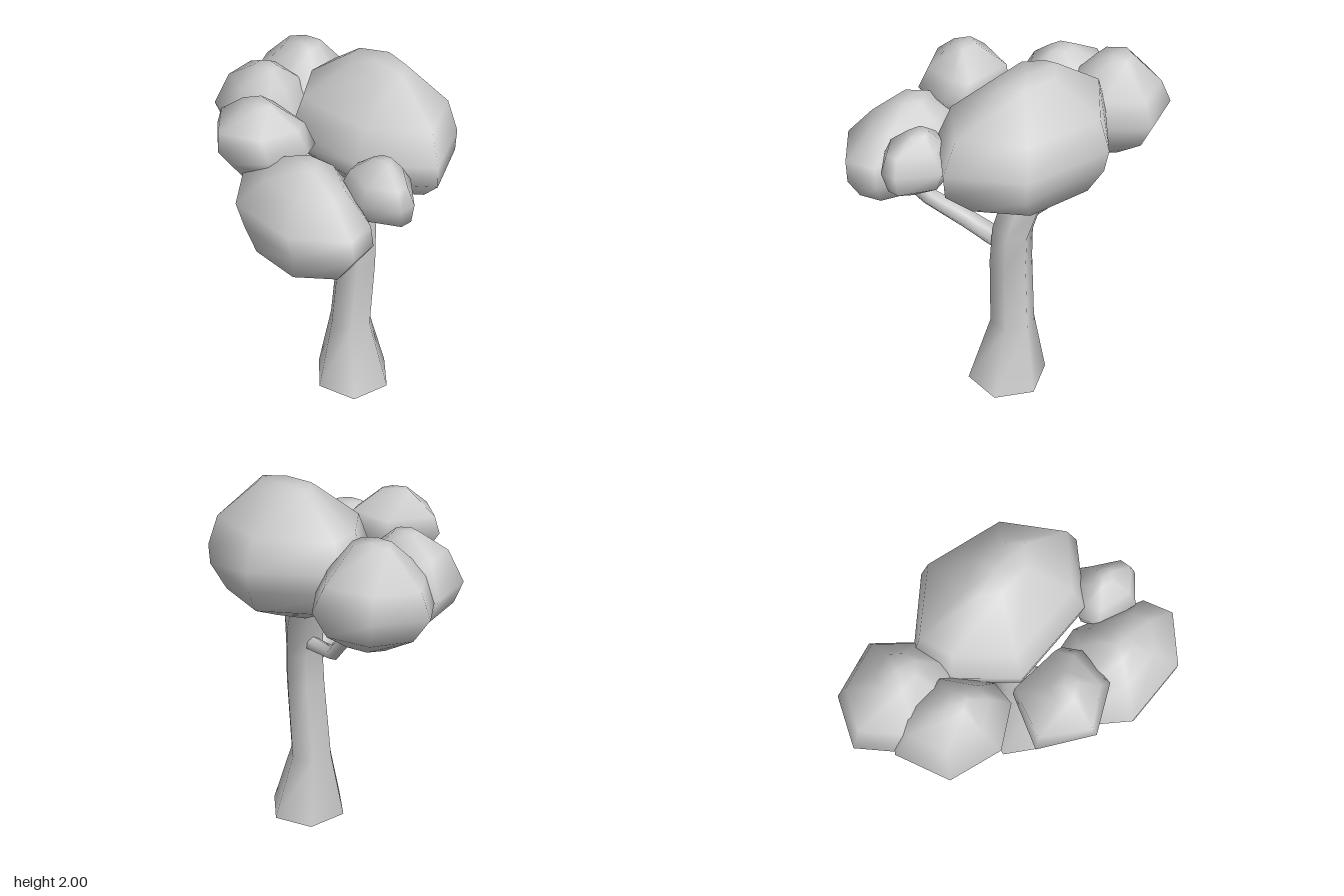
import * as THREE from 'three';

const grey = new THREE.MeshStandardMaterial({ color: 0xcccccc, side: THREE.DoubleSide });
grey.name = 'plain grey';

// Smooth skin over rings of points, listed from bottom to top; capped when closed
function skin(name, rings, closed) {
  const n = rings[0].length, top = rings.length - 1;
  const points = rings.flat();
  const index = [];
  for (let i = 0; i < top; i++) {
    for (let j = 0; j < n; j++) {
      const a = i * n + j, b = i * n + (j + 1) % n;
      index.push(a, a + n, b, b, a + n, b + n);
    }
  }
  if (closed) {
    const centre = ring => ring.reduce((s, p) => s.add(p), new THREE.Vector3()).divideScalar(n);
    const low = points.push(centre(rings[0])) - 1;
    const high = points.push(centre(rings[top])) - 1;
    for (let j = 0; j < n; j++) {
      const k = (j + 1) % n;
      index.push(j, k, low, top * n + j, high, top * n + k);
    }
  }
  const geo = new THREE.BufferGeometry().setFromPoints(points);
  geo.setIndex(index);
  geo.computeVertexNormals();
  const mesh = new THREE.Mesh(geo, grey);
  mesh.name = name;
  return mesh;
}

// Open six-sided limb along [x, y, z, radius] stations
function limb(name, stations, refAxis, phase) {
  const centres = stations.map(([x, y, z]) => new THREE.Vector3(x, y, z));
  const last = centres.length - 1;
  const rings = centres.map((c, i) => {
    const t = centres[Math.min(i + 1, last)].clone().sub(centres[Math.max(i - 1, 0)]).normalize();
    if (c.y === 0) t.set(0, 1, 0); // flat foot on the ground
    const u = refAxis.clone().addScaledVector(t, -refAxis.dot(t)).normalize();
    const v = u.clone().cross(t);
    return Array.from({ length: 6 }, (_, j) => {
      const a = phase + j * Math.PI / 3, r = stations[i][3];
      return c.clone().addScaledVector(u, Math.cos(a) * r).addScaledVector(v, Math.sin(a) * r);
    });
  });
  return skin(name, rings, false);
}

// Leaf clump: an [x, z] outline fitted at each level to [y, xMin, xMax, zMin, zMax]
function clump(name, outline, levels) {
  const box = new THREE.Box2().setFromPoints(outline.map(([x, z]) => new THREE.Vector2(x, z)));
  const { min, max } = box;
  const rings = levels.map(([y, x0, x1, z0, z1]) => outline.map(([x, z]) => new THREE.Vector3(
    THREE.MathUtils.mapLinear(x, min.x, max.x, x0, x1), y,
    THREE.MathUtils.mapLinear(z, min.y, max.y, z0, z1))));
  return skin(name, rings, true);
}

export function createModel() {
  const tree = new THREE.Group();
  tree.name = 'tree';
  const X = new THREE.Vector3(1, 0, 0), Z = new THREE.Vector3(0, 0, 1);

  // Trunk flares at the foot and leans back into the crown
  tree.add(limb('trunk', [
    [0.215, 0, -0.127, 0.229],
    [0.175, 0.4, -0.135, 0.126],
    [0.2, 0.85, -0.145, 0.117],
    [0.195, 1.05, -0.153, 0.111],
    [0.155, 1.23, -0.19, 0.113],
    [0.07, 1.42, -0.255, 0.095],
    [0.03, 1.5, -0.28, 0.085],
  ], X, 0.715));

  // Branches
  tree.add(limb('frontBranch', [
    [0.215, 0.965, -0.1, 0.058],
    [0.225, 0.97, -0.05, 0.057],
    [0.25, 1.025, 0.11, 0.053],
    [0.335, 1.14, 0.3, 0.05],
    [0.4, 1.25, 0.37, 0.047],
  ], X, 0));
  tree.add(limb('sideBranch', [
    [0.15, 1.13, -0.19, 0.042],
    [0.05, 1.135, -0.21, 0.041],
    [-0.12, 1.155, -0.25, 0.038],
    [-0.31, 1.36, -0.31, 0.036],
    [-0.36, 1.42, -0.32, 0.035],
  ], Z, Math.PI / 6));

  // Leaf clumps
  tree.add(clump('mainClump',
    [[0.08, -0.64], [0.54, -0.5], [0.73, -0.16], [0.455, 0.1], [-0.04, 0.1], [-0.26, -0.17], [-0.29, -0.38]],
    [[1.33, 0.02, 0.42, -0.38, -0.18], [1.42, -0.15, 0.6, -0.56, -0.03], [1.55, -0.27, 0.73, -0.63, 0.09],
      [1.66, -0.29, 0.73, -0.645, 0.11], [1.82, -0.24, 0.66, -0.59, 0.05], [2, 0.03, 0.4, -0.37, -0.15]]));
  tree.add(clump('backClump',
    [[-0.81, -0.32], [-0.66, -0.56], [-0.35, -0.63], [-0.17, -0.42], [-0.16, -0.2], [-0.32, -0.04], [-0.62, -0.04]],
    [[1.33, -0.54, -0.32, -0.42, -0.24], [1.43, -0.71, -0.24, -0.56, -0.1], [1.57, -0.81, -0.16, -0.63, -0.04],
      [1.69, -0.75, -0.22, -0.57, -0.09], [1.855, -0.56, -0.35, -0.42, -0.24]]));
  tree.add(clump('sideClump',
    [[-0.71, -0.14], [-0.55, -0.29], [-0.25, -0.25], [-0.12, 0], [-0.15, 0.13], [-0.37, 0.245], [-0.64, 0.15]],
    [[1.345, -0.53, -0.27, -0.14, 0.1], [1.47, -0.67, -0.15, -0.26, 0.2], [1.58, -0.71, -0.12, -0.29, 0.245],
      [1.75, -0.63, -0.23, -0.2, 0.15], [1.83, -0.47, -0.33, -0.08, 0.04]]));
  tree.add(clump('frontClump',
    [[-0.29, 0.39], [-0.14, 0.13], [0.2, 0.16], [0.25, 0.25], [0.2, 0.46], [-0.05, 0.57]],
    [[1.485, -0.12, 0.03, 0.28, 0.42], [1.59, -0.23, 0.18, 0.17, 0.5], [1.69, -0.29, 0.25, 0.13, 0.57],
      [1.78, -0.26, 0.17, 0.14, 0.55], [1.89, -0.11, 0.05, 0.28, 0.41]]));
  tree.add(clump('lowerClump',
    [[-0.08, 0.38], [0.18, 0.12], [0.38, 0.1], [0.74, 0.28], [0.78, 0.44], [0.56, 0.635], [0.17, 0.635]],
    [[1.2, 0.24, 0.43, 0.32, 0.44], [1.28, 0.09, 0.69, 0.2, 0.6], [1.42, -0.02, 0.78, 0.1, 0.63],
      [1.53, -0.08, 0.77, 0.11, 0.64], [1.66, 0.12, 0.6, 0.2, 0.53], [1.735, 0.27, 0.44, 0.3, 0.44]]));
  tree.add(clump('smallClump',
    [[0.43, 0.11], [0.5, -0.03], [0.64, -0.07], [0.805, 0.08], [0.805, 0.17], [0.66, 0.285], [0.455, 0.215]],
    [[1.43, 0.54, 0.68, 0.06, 0.13], [1.49, 0.45, 0.79, -0.03, 0.23], [1.59, 0.42, 0.805, -0.07, 0.285],
      [1.68, 0.46, 0.77, -0.01, 0.24], [1.75, 0.55, 0.66, 0.05, 0.15]]));

  return tree;
}
